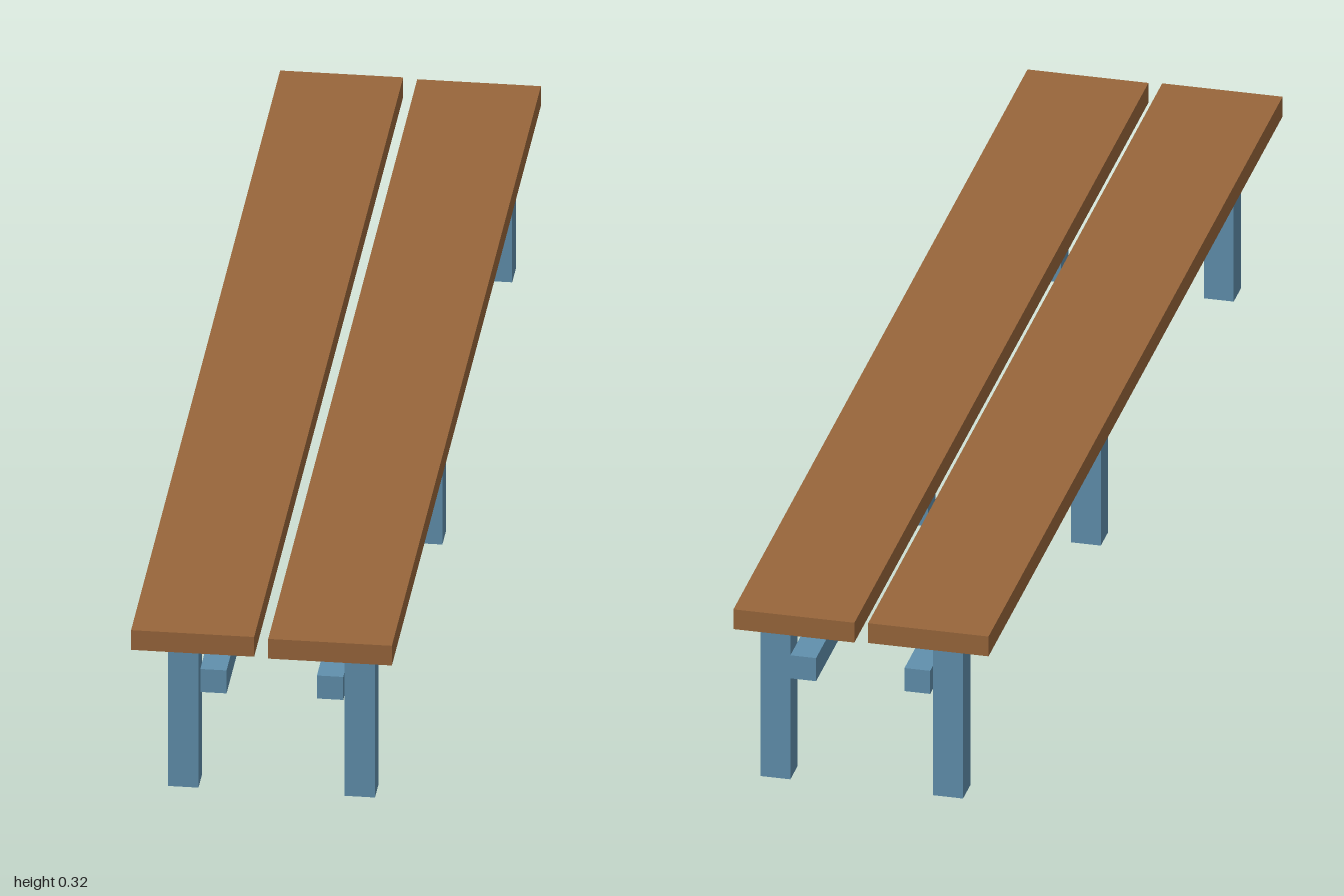
import * as THREE from 'three';

export function createModel() {
  const bench = new THREE.Group();
  bench.name = 'bench';

  const wood = new THREE.MeshStandardMaterial({ color: 0x98663b });
  wood.name = 'brown wood';
  const paint = new THREE.MeshStandardMaterial({ color: 0x6090ad });
  paint.name = 'blue paint';

  // Box given by its lowest and highest corners
  function beam(name, material, [x0, y0, z0], [x1, y1, z1]) {
    const mesh = new THREE.Mesh(new THREE.BoxGeometry(x1 - x0, y1 - y0, z1 - z0), material);
    mesh.position.set((x0 + x1) / 2, (y0 + y1) / 2, (z0 + z1) / 2);
    mesh.name = name;
    bench.add(mesh);
  }

  // Seat planks, the right one slightly higher
  beam('rightSeatPlank', wood, [-0.2135, 0.283, -1], [-0.012, 0.319, 1]);
  beam('leftSeatPlank', wood, [0.011, 0.281, -1], [0.2135, 0.317, 1]);

  // Long rails on the inner side of the legs
  beam('rightRail', paint, [-0.107, 0.184, -0.964], [-0.064, 0.226, 0.944]);
  beam('leftRail', paint, [0.084, 0.184, -0.964], [0.127, 0.226, 0.944]);

  // Three pairs of square legs
  const rows = { front: 0.902, middle: -0.002, back: -0.939 };
  const sides = { Right: -0.137, Left: 0.152 };
  const half = 0.025;
  for (const [row, z] of Object.entries(rows)) {
    for (const [side, x] of Object.entries(sides)) {
      beam(`${row}${side}Leg`, paint, [x - half, 0, z - half], [x + half, 0.277, z + half]);
    }
  }

  return bench;
}
